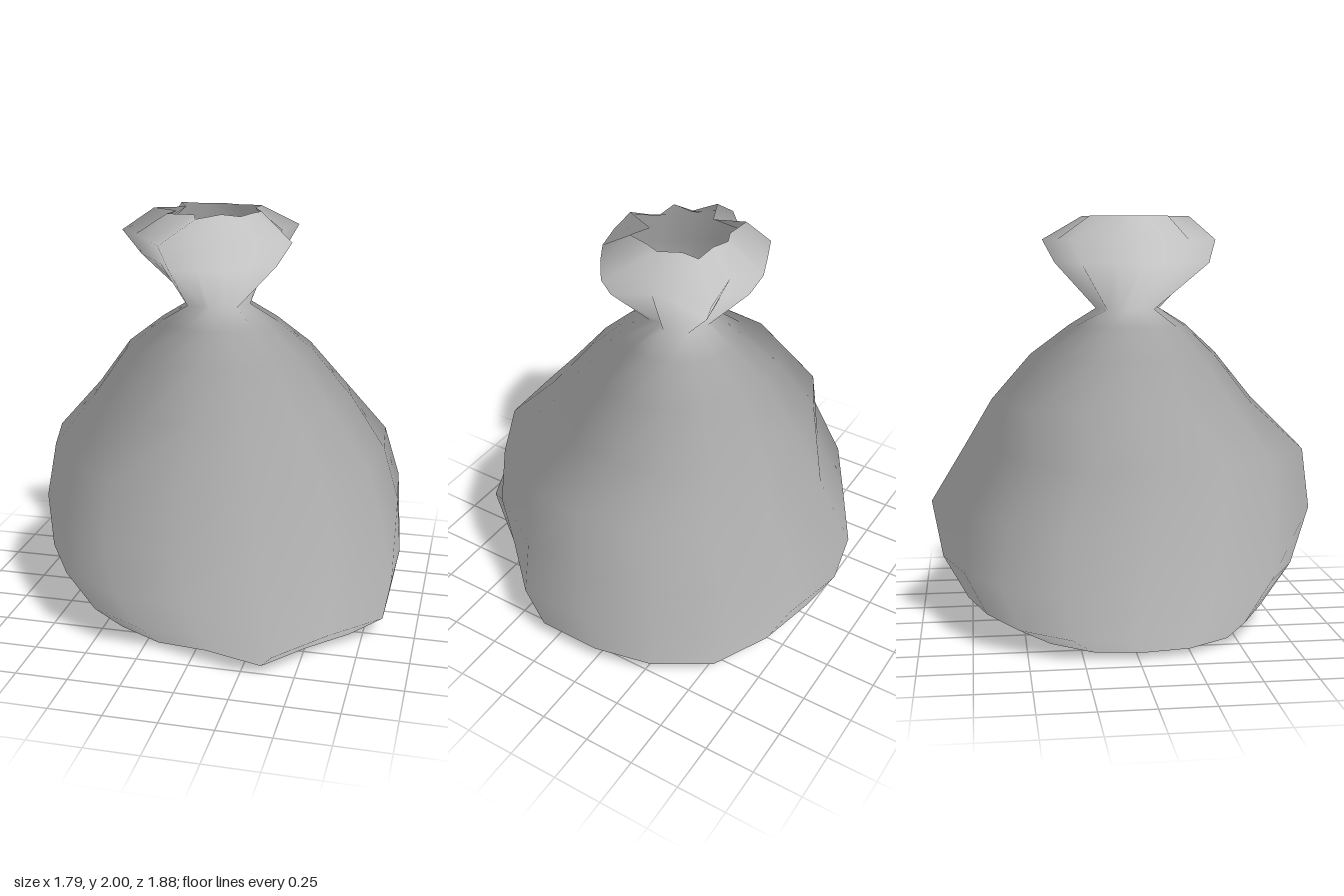
import * as THREE from 'three';

const SIDES = 16;

// Radii of the lumpy body outlines, starting at +x and turning towards +z
const low = [0.89, 0.96, 0.9, 1.03, 0.83, 0.86, 0.89, 0.87, 0.85, 0.87, 0.86, 0.84, 0.88, 0.87, 0.91, 0.89];
const middle = [0.87, 0.9, 0.92, 0.9, 0.85, 0.92, 0.87, 0.88, 0.9, 0.92, 0.85, 0.83, 0.95, 0.89, 0.91, 0.91];
const shoulder = [0.9, 0.9, 0.9, 0.91, 0.9, 0.9, 0.94, 0.9, 0.9, 0.93, 0.94, 0.9, 0.9, 0.9, 0.87, 0.88];

// Pleated outlines of the tied top, as x and z
const neck = [
  [0.13, 0.02], [0.08, 0.06], [0.09, 0.12], [0.03, 0.13], [-0.03, 0.17], [-0.07, 0.13], [-0.15, 0.13], [-0.14, 0.06],
  [-0.17, 0], [-0.14, -0.03], [-0.15, -0.09], [-0.08, -0.09], [-0.02, -0.13], [0.03, -0.1], [0.09, -0.09], [0.08, -0.03],
];
const flare = [
  [0.24, 0.02], [0.36, 0.19], [0.22, 0.29], [0.1, 0.36], [-0.05, 0.4], [-0.21, 0.41], [-0.3, 0.27], [-0.4, 0.14],
  [-0.5, 0.02], [-0.37, -0.09], [-0.34, -0.27], [-0.2, -0.33], [-0.05, -0.39], [0.05, -0.28], [0.3, -0.33], [0.25, -0.14],
];
const rim = [
  [0.18, 0.02], [0.15, 0.09], [0.12, 0.2], [0.02, 0.16], [-0.06, 0.32], [-0.1, 0.19], [-0.23, 0.19], [-0.21, 0.09],
  [-0.34, 0.02], [-0.2, -0.04], [-0.26, -0.18], [-0.13, -0.17], [-0.06, -0.2], [0.02, -0.17], [0.14, -0.17], [0.13, -0.08],
];

const angle = (i) => (i / SIDES) * Math.PI * 2;
const polar = (radii) => radii.map((r, i) => [Math.cos(angle(i)) * r, Math.sin(angle(i)) * r]);

// Each ring: outline, height, extents in +x, -x, +z, -z, and upward tilt of its normals
const rings = [
  [polar(low), 0, 0.69, 0.57, 0.68, 0.57, -0.05],
  [polar(low), 0.11, 0.85, 0.73, 0.79, 0.77, -0.05],
  [polar(low), 0.34, 0.89, 0.85, 0.94, 0.89, -0.06],
  [polar(middle), 0.62, 0.87, 0.9, 0.86, 0.94, -0.08],
  [polar(middle), 0.9, 0.8, 0.83, 0.83, 0.77, -0.1],
  [polar(shoulder), 1.12, 0.63, 0.64, 0.64, 0.64, -0.12],
  [polar(shoulder), 1.34, 0.44, 0.48, 0.46, 0.45, -0.15],
  [polar(shoulder), 1.48, 0.27, 0.3, 0.31, 0.26, -0.12],
  [neck, 1.56, 0.13, 0.17, 0.18, 0.13, 0.15],
  [flare, 1.78, 0.29, 0.4, 0.4, 0.33, 0.45],
  [flare, 1.89, 0.36, 0.5, 0.42, 0.39, 0.45],
  [rim, 2, 0.18, 0.34, 0.32, 0.2, 0.45],
];

// Spreads an outline so that it fills the extents of its ring
function fit([points, , right, left, front, back]) {
  const range = (k) => [Math.min(...points.map((p) => p[k])), Math.max(...points.map((p) => p[k]))];
  const [x0, x1] = range(0);
  const [z0, z1] = range(1);
  return points.map(([x, z]) => [
    -left + ((x - x0) / (x1 - x0)) * (right + left),
    -back + ((z - z0) / (z1 - z0)) * (front + back),
  ]);
}

function createSack() {
  const position = [];
  const normal = [];
  const index = [];

  // Soft radial normals keep the crumpled cloth smooth
  for (const ring of rings) {
    const tilt = ring[6];
    const flat = Math.sqrt(1 - tilt * tilt);
    fit(ring).forEach(([x, z], i) => {
      position.push(x, ring[1], z);
      normal.push(Math.cos(angle(i)) * flat, tilt, Math.sin(angle(i)) * flat);
    });
  }

  // Walls
  for (let j = 0; j < rings.length - 1; j++) {
    for (let i = 0; i < SIDES; i++) {
      const a = j * SIDES + i;
      const b = j * SIDES + ((i + 1) % SIDES);
      index.push(a, a + SIDES, b, b, a + SIDES, b + SIDES);
    }
  }

  // Floor
  const centre = position.length / 3;
  position.push(0.03, 0, 0.03);
  normal.push(0, -1, 0);
  for (let i = 0; i < SIDES; i++) index.push(centre, i, (i + 1) % SIDES);

  const geometry = new THREE.BufferGeometry();
  geometry.setAttribute('position', new THREE.Float32BufferAttribute(position, 3));
  geometry.setAttribute('normal', new THREE.Float32BufferAttribute(normal, 3));
  geometry.setIndex(index);
  return geometry;
}

export function createModel() {
  const group = new THREE.Group();
  group.name = 'tiedSack';
  const material = new THREE.MeshStandardMaterial({ color: 0xc8c8c8, side: THREE.DoubleSide });
  material.name = 'light grey';
  const sack = new THREE.Mesh(createSack(), material);
  sack.name = 'sack';
  group.add(sack);
  return group;
}
